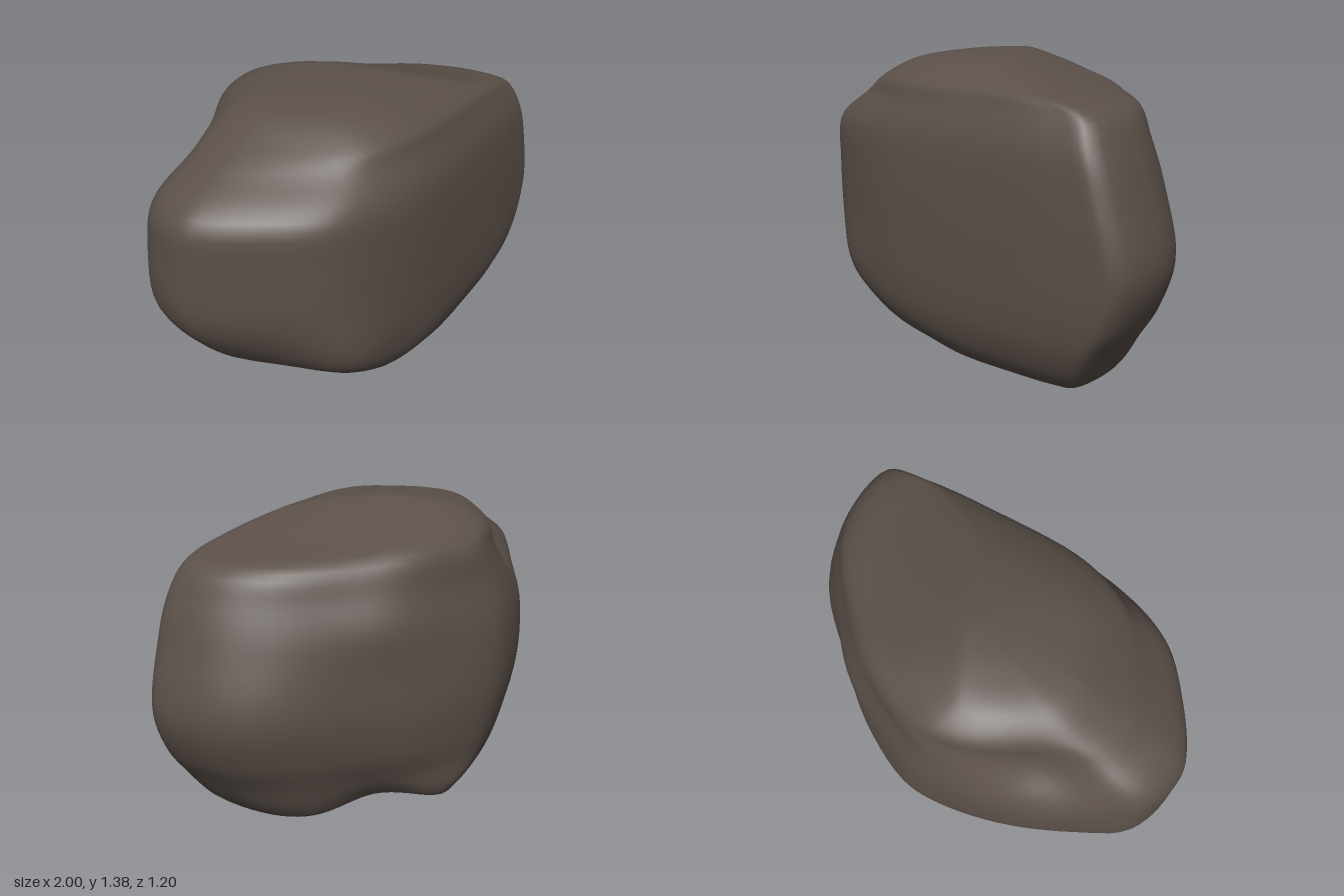
import * as THREE from 'three';
import { mergeVertices } from 'three/addons/utils/BufferGeometryUtils.js';

// Plan outline of the boulder at its widest, as [x, z]
const OUTLINE = [
  [-1, -0.05], [-0.94, -0.25], [-0.75, -0.38], [-0.45, -0.52], [-0.15, -0.59], [0.05, -0.585],
  [0.35, -0.45], [0.6, -0.25], [0.88, 0], [0.99, 0.25], [0.96, 0.52], [0.8, 0.56],
  [0.4, 0.585], [-0.2, 0.59], [-0.5, 0.53], [-0.68, 0.44], [-0.85, 0.25], [-0.97, 0.06],
];

// Extents of each level from top to bottom: [y, xMin, xMax, zMin, zMax]
const LEVELS = [
  [1.38, 0.02, 0.02, -0.03, -0.03],
  [1.365, -0.25, 0.12, -0.2, 0.18],
  [1.33, -0.46, 0.25, -0.34, 0.35],
  [1.25, -0.63, 0.53, -0.46, 0.5],
  [1.18, -0.77, 0.79, -0.49, 0.53],
  [1.05, -0.975, 0.87, -0.53, 0.575],
  [0.87, -1, 0.935, -0.575, 0.59],
  [0.6, -0.99, 1, -0.59, 0.59],
  [0.4, -0.86, 0.94, -0.565, 0.585],
  [0.26, -0.7, 0.85, -0.53, 0.565],
  [0.12, -0.37, 0.75, -0.475, 0.5],
  [0.06, -0.24, 0.67, -0.43, 0.42],
  [0.08, 0.05, 0.42, -0.2, 0.2],
  [0.09, 0.2, 0.2, 0, 0],
];

// Local pushes: centre, radius per axis, shift at the centre
const PUSHES = [
  // hollow high on the back
  { at: [-0.53, 1.1, -0.4], size: [0.24, 0.14, 0.16], shift: [0.03, -0.035, 0.075] },
  // full shoulder at the back right, with a raised top behind the peak
  { at: [0.48, 0.98, -0.3], size: [0.3, 0.2, 0.25], shift: [0.04, 0, -0.04] },
  { at: [0.25, 1.28, -0.28], size: [0.25, 0.2, 0.2], shift: [0, 0.025, 0] },
  // undercut below the back right
  { at: [0.4, 0.05, -0.27], size: [0.28, 0.17, 0.22], shift: [-0.05, 0.07, 0.05] },
  // full lower left of the front face
  { at: [-0.55, 0.36, 0.42], size: [0.25, 0.2, 0.2], shift: [-0.03, -0.01, 0.045] },
  // lower edges at the front left and back left
  { at: [-0.3, 0.12, 0.42], size: [0.22, 0.15, 0.2], shift: [-0.01, -0.025, 0.03] },
  { at: [-0.3, 0.12, -0.38], size: [0.22, 0.15, 0.18], shift: [-0.02, -0.025, -0.035] },
  // small foot under the base
  { at: [-0.13, 0.07, -0.08], size: [0.18, 0.12, 0.15], shift: [-0.02, -0.058, 0] },
];

const AROUND = 90;
const DOWN = 64;

function sculpt(p) {
  const start = p.clone();
  for (const { at, size, shift } of PUSHES) {
    const distance = start.clone().sub(new THREE.Vector3(...at)).divide(new THREE.Vector3(...size));
    p.addScaledVector(new THREE.Vector3(...shift), Math.exp(-distance.lengthSq()));
  }
  return p;
}

function boulderGeometry() {
  const plan = new THREE.CatmullRomCurve3(OUTLINE.map(([x, z]) => new THREE.Vector3(x, 0, z)), true);
  const positions = [];
  const index = [];
  // one vertical curve per point of the outline, fitted to every level
  const columns = [];
  for (let j = 0; j < AROUND; j++) {
    const q = plan.getPoint(j / AROUND);
    const u = (q.x + 1) / 2;
    const v = (q.z + 0.59) / 1.18;
    columns.push(new THREE.CatmullRomCurve3(LEVELS.map(([y, x0, x1, z0, z1]) =>
      new THREE.Vector3(x0 + (x1 - x0) * u, y, z0 + (z1 - z0) * v))));
  }
  for (let i = 0; i <= DOWN; i++) {
    for (const column of columns) positions.push(...sculpt(column.getPoint(i / DOWN)).toArray());
  }
  for (let i = 0; i < DOWN; i++) {
    for (let j = 0; j < AROUND; j++) {
      const a = i * AROUND + j;
      const b = i * AROUND + (j + 1) % AROUND;
      const c = a + AROUND;
      const d = b + AROUND;
      if (i > 0) index.push(a, b, c);
      if (i < DOWN - 1) index.push(b, d, c);
    }
  }
  let geometry = new THREE.BufferGeometry();
  geometry.setAttribute('position', new THREE.Float32BufferAttribute(positions, 3));
  geometry.setIndex(index);
  geometry = mergeVertices(geometry, 1e-5);
  geometry.computeVertexNormals();
  return geometry;
}

export function createModel() {
  const group = new THREE.Group();
  group.name = 'rock';
  const boulder = new THREE.Mesh(boulderGeometry(), new THREE.MeshStandardMaterial({ color: 0x5b5049 }));
  boulder.name = 'boulder';
  group.add(boulder);
  return group;
}
